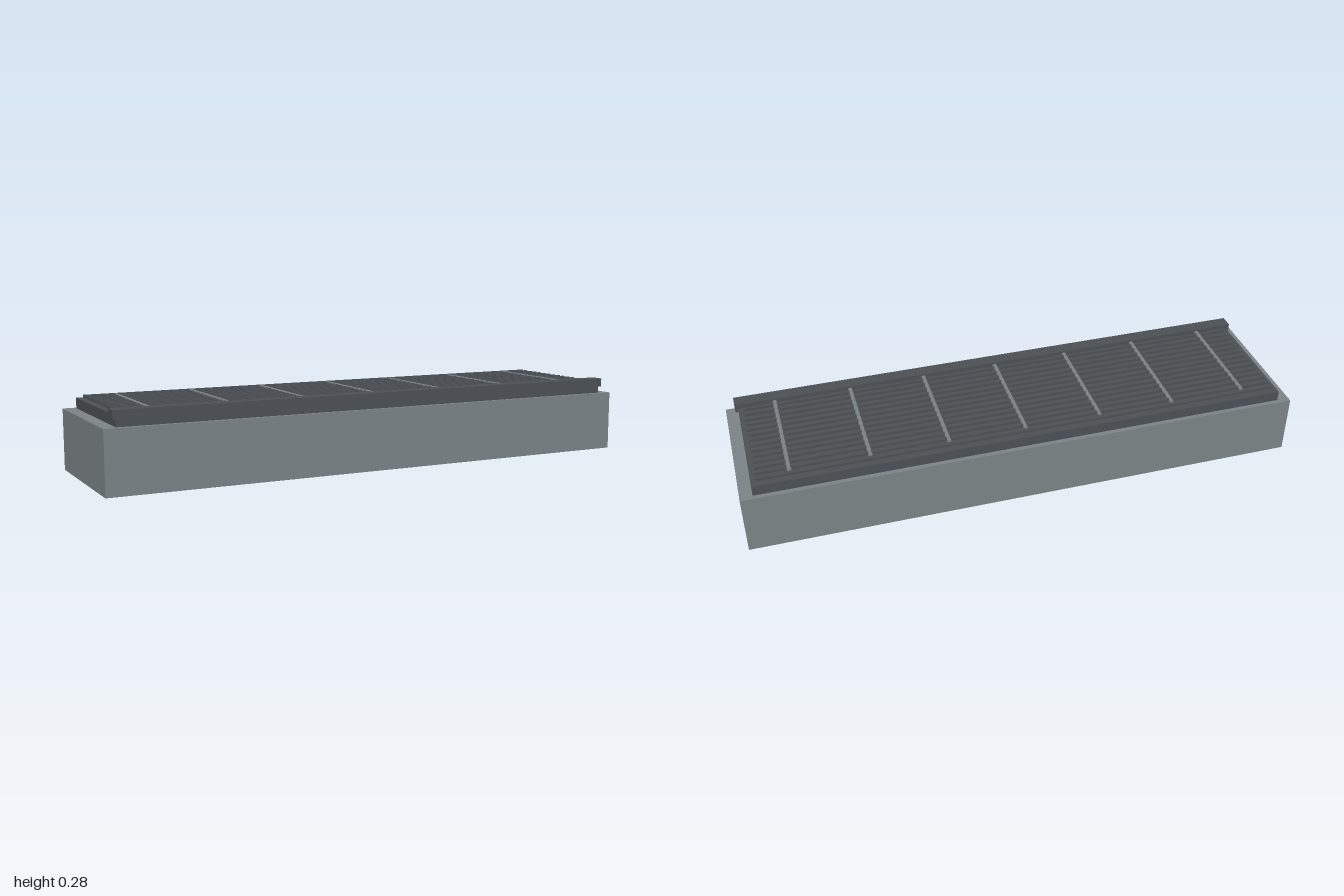
import * as THREE from 'three';

export function createModel() {
  const model = new THREE.Group();
  const mat = (name, color) => {
    const m = new THREE.MeshStandardMaterial({ color });
    m.name = name;
    return m;
  };
  const casing = mat('grey casing', 0x7a8285);
  const dark = mat('dark grey metal', 0x4b4f53);
  const rubber = mat('black rubber', 0x34373a);

  // Box given by its extents along each axis
  const box = (name, material, [x0, x1], [y0, y1], [z0, z1], parent = model) => {
    const mesh = new THREE.Mesh(new THREE.BoxGeometry(x1 - x0, y1 - y0, z1 - z0), material);
    mesh.position.set((x0 + x1) / 2, (y0 + y1) / 2, (z0 + z1) / 2);
    mesh.name = name;
    parent.add(mesh);
  };

  // Casing, raised deck and front lip
  box('body', casing, [-1, 1], [0.007, 0.225], [-0.264, 0.264]);
  box('deck', dark, [-0.956, 0.956], [0.225, 0.262], [-0.247, 0.248]);
  box('frontLip', dark, [-0.967, 0.967], [0.249, 0.28], [0.203, 0.252]);

  // Long slats of the grille
  const grille = new THREE.Group();
  grille.name = 'grille';
  model.add(grille);
  for (let i = 0; i < 14; i++) {
    const z = 0.183 - i * 0.0309;
    box('slat', dark, [-0.937, 0.937], [0.264, 0.274], [z - 0.0055, z + 0.0055], grille);
  }

  // Round cross rods tying the slats together
  const rodGeometry = new THREE.CylinderGeometry(0.005, 0.005, 0.404, 12)
    .rotateX(Math.PI / 2)
    .scale(1.6, 1, 1);
  for (let i = -3; i <= 3; i++) {
    const rod = new THREE.Mesh(rodGeometry, casing);
    rod.position.set(i * 0.275, 0.2705, 0);
    rod.name = 'crossRod';
    grille.add(rod);
  }

  // Foot strips
  for (const s of [-1, 1]) {
    const x = s * 0.908;
    box('foot', rubber, [x - 0.018, x + 0.018], [0, 0.007], [-0.219, 0.219]);
  }
  return model;
}
